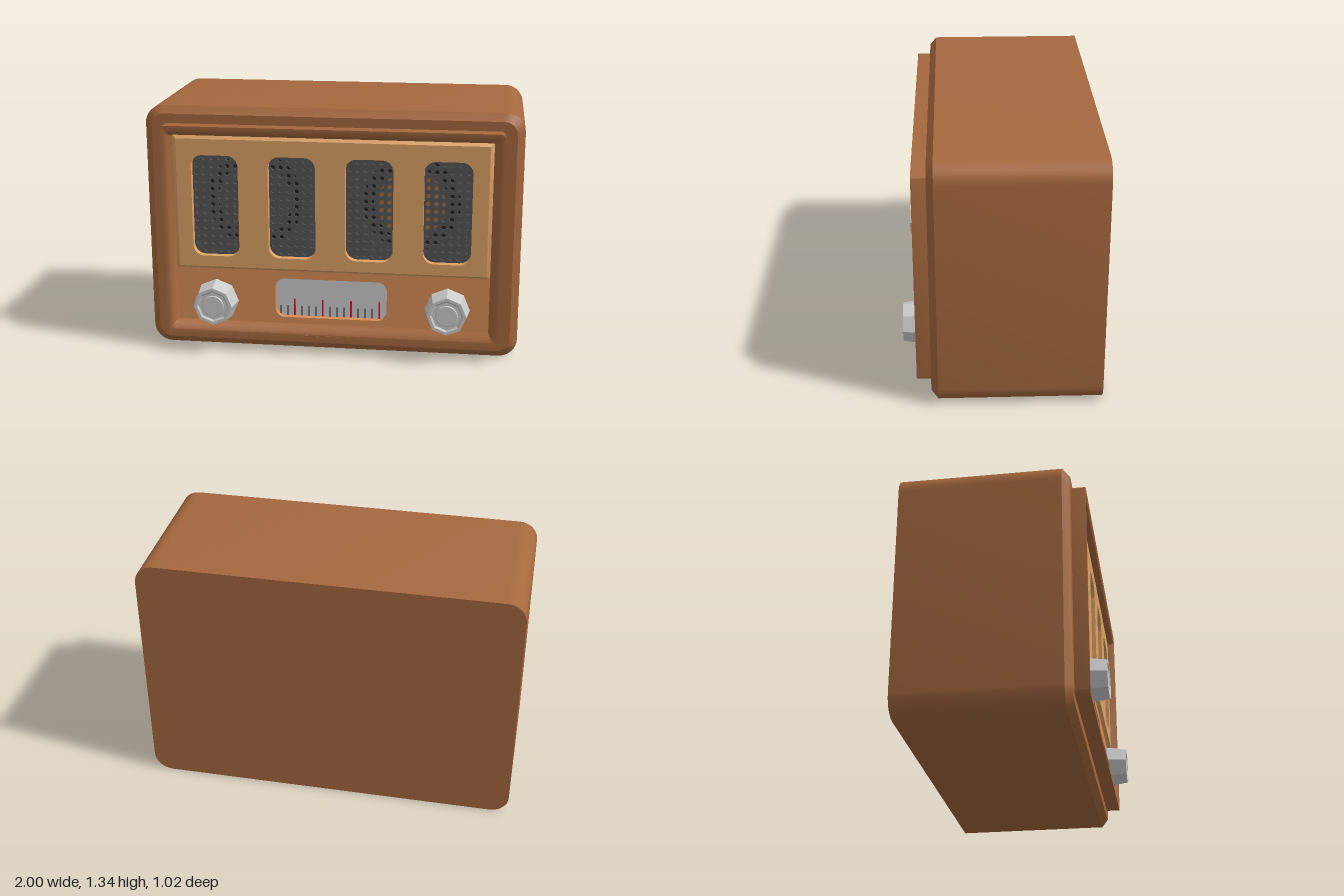
import * as THREE from 'three';
import { toCreasedNormals } from 'three/addons/utils/BufferGeometryUtils.js';

const mat = (color, extra = {}) => new THREE.MeshStandardMaterial({ color, ...extra });
const wood = mat(0xa5683e), tan = mat(0xdda266), orange = mat(0xd98d57);
const mesh = mat(0x555555), dark = mat(0x222222), red = mat(0xd01030);
const grey = mat(0xcccccc), greyFlat = mat(0xcccccc, { flatShading: true });

function add(parent, name, geometry, material, x = 0, y = 0, z = 0) {
  const m = new THREE.Mesh(geometry, material);
  m.name = name;
  m.position.set(x, y, z);
  parent.add(m);
  return m;
}

// Rounded rectangle path, counter-clockwise
function roundRect(x0, y0, x1, y1, r, Type = THREE.Shape) {
  const s = new Type();
  s.absarc(x1 - r, y0 + r, r, -Math.PI / 2, 0);
  s.absarc(x1 - r, y1 - r, r, 0, Math.PI / 2);
  s.absarc(x0 + r, y1 - r, r, Math.PI / 2, Math.PI);
  s.absarc(x0 + r, y0 + r, r, Math.PI, Math.PI * 1.5);
  s.closePath();
  return s;
}

// Skin over rounded rectangles [half width, y0, y1, corner radius, z]
function loft(rings) {
  const seg = 8, n = 4 * (seg + 1), pos = [], idx = [];
  for (const [hw, y0, y1, r, z] of rings) {
    for (let c = 0; c < 4; c++) {
      const cx = (c === 0 || c === 1 ? 1 : -1) * (hw - r);
      const cy = c === 1 || c === 2 ? y1 - r : y0 + r;
      for (let i = 0; i <= seg; i++) {
        const a = (c - 1 + i / seg) * Math.PI / 2;
        pos.push(cx + r * Math.cos(a), cy + r * Math.sin(a), z);
      }
    }
  }
  for (let k = 0; k < rings.length - 1; k++) {
    for (let i = 0; i < n; i++) {
      const a = k * n + i, b = k * n + (i + 1) % n;
      idx.push(a, b, b + n, a, b + n, a + n);
    }
  }
  const g = new THREE.BufferGeometry();
  g.setAttribute('position', new THREE.Float32BufferAttribute(pos, 3));
  g.setIndex(idx);
  return toCreasedNormals(g, 0.5);
}

const plate = (shape, depth) =>
  new THREE.ExtrudeGeometry(shape, { depth, bevelEnabled: false, curveSegments: 6 });

export function createModel() {
  const radio = new THREE.Group();
  radio.name = 'radio';

  // Cabinet: back, sides, front chamfer, raised frame, coved inner edge, recess floor
  add(radio, 'cabinet', loft([
    [0, 0.67, 0.67, 0, -0.51],
    [1, 0, 1.335, 0.1, -0.51],
    [1, 0, 1.335, 0.1, 0.33],
    [0.96, 0.04, 1.295, 0.07, 0.365],
    [0.9, 0.09, 1.245, 0.025, 0.365],
    [0.9, 0.09, 1.245, 0.025, 0.44],
    [0.88, 0.115, 1.225, 0.02, 0.44],
    [0.867, 0.127, 1.21, 0.015, 0.433],
    [0.855, 0.142, 1.197, 0.01, 0.415],
    [0.845, 0.155, 1.187, 0.002, 0.385],
    [0.845, 0.155, 1.187, 0.002, 0.28],
    [0, 0.67, 0.67, 0, 0.28],
  ]), wood);
  add(radio, 'frameStrip', new THREE.BoxGeometry(0.29, 0.006, 0.004), wood, -0.005, 0.105, 0.44);

  // Speaker panel with four windows and a bevelled rim
  const windows = [-0.62, -0.208, 0.203, 0.615];
  const [wy0, wy1, hw] = [0.53, 1.085, 0.126];
  const front = roundRect(-0.825, 0.47, 0.825, 1.172, 0.002);
  for (const x of windows) front.holes.push(roundRect(x - hw, wy0, x + hw, wy1, 0.06, THREE.Path));
  add(radio, 'speakerPanel', plate(front, 0.045), tan, 0, 0, 0.36);
  add(radio, 'speakerPanelRim', loft([
    [0.845, 0.455, 1.187, 0.002, 0.36],
    [0.845, 0.455, 1.187, 0.002, 0.385],
    [0.825, 0.47, 1.172, 0.002, 0.405],
  ]), tan);

  // Perforated grilles
  const rows = 13, cols = 6, pitch = 0.0425;
  const grille = roundRect(-hw, wy0, hw, wy1, 0.06);
  for (let r = 0; r < rows; r++) {
    for (let c = 0; c < cols; c++) {
      const hole = new THREE.Path();
      const x = (c - (cols - 1) / 2) * pitch * 0.98;
      const y = (wy0 + wy1) / 2 + (r - (rows - 1) / 2) * pitch;
      const edge = r === 0 || r === rows - 1;
      if (edge && (c === 0 || c === cols - 1)) continue;
      hole.absarc(x, y, 0.0125, 0, Math.PI * 2);
      grille.holes.push(hole);
    }
  }
  const grilleGeo = new THREE.ExtrudeGeometry(grille, { depth: 0.012, bevelEnabled: false, curveSegments: 4 });
  for (const x of windows) add(radio, 'grille', grilleGeo, mesh, x, 0, 0.355);

  // Speakers behind the grilles
  add(radio, 'speakerBoard', new THREE.BoxGeometry(1.68, 0.71, 0.02), mesh, 0, 0.825, 0.3);
  for (const side of [-1, 1]) {
    const speaker = new THREE.Group();
    speaker.name = 'speaker';
    speaker.position.set(side * 0.42, 0.83, 0.312);
    add(speaker, 'speakerRing', new THREE.RingGeometry(0.2, 0.26, 32), dark);
    add(speaker, 'speakerCone', new THREE.CircleGeometry(0.18, 32), side > 0 ? wood : mesh);
    radio.add(speaker);
  }

  // Control panel with dial window
  const control = roundRect(-0.845, 0.155, 0.845, 0.46, 0.002);
  control.holes.push(roundRect(-0.305, 0.19, 0.3, 0.41, 0.05, THREE.Path));
  add(radio, 'controlPanel', plate(control, 0.045), orange, 0, 0, 0.34);

  // Dial plate with scale marks, every fourth one long and red
  add(radio, 'dialPlate', new THREE.BoxGeometry(0.66, 0.25, 0.01), grey, 0, 0.3, 0.345);
  for (let i = 0; i < 15; i++) {
    const long = i % 4 === 2, h = long ? 0.095 : 0.055;
    add(radio, long ? 'dialMarkLong' : 'dialMark',
      new THREE.BoxGeometry(long ? 0.009 : 0.005, h, 0.004),
      long ? red : dark, -0.282 + i * 0.0385, 0.19 + h / 2, 0.352);
  }

  // Octagonal knobs with dished faces
  const profile = [[0.1, 0], [0.12, 0.02], [0.104, 0.13], [0.088, 0.13], [0.078, 0.122], [0, 0.122]]
    .map(([x, y]) => new THREE.Vector2(x, y));
  const knobGeo = new THREE.LatheGeometry(profile, 8).rotateX(Math.PI / 2);
  const capGeo = new THREE.CylinderGeometry(0.055, 0.06, 0.006, 24).rotateX(Math.PI / 2);
  for (const side of [-1, 1]) {
    const knob = new THREE.Group();
    knob.name = side > 0 ? 'leftKnob' : 'rightKnob';
    knob.position.set(side * 0.625, 0.278, 0.38);
    add(knob, 'knobBody', knobGeo, greyFlat);
    add(knob, 'knobCap', capGeo, grey, 0, 0, 0.124);
    radio.add(knob);
  }
  return radio;
}
